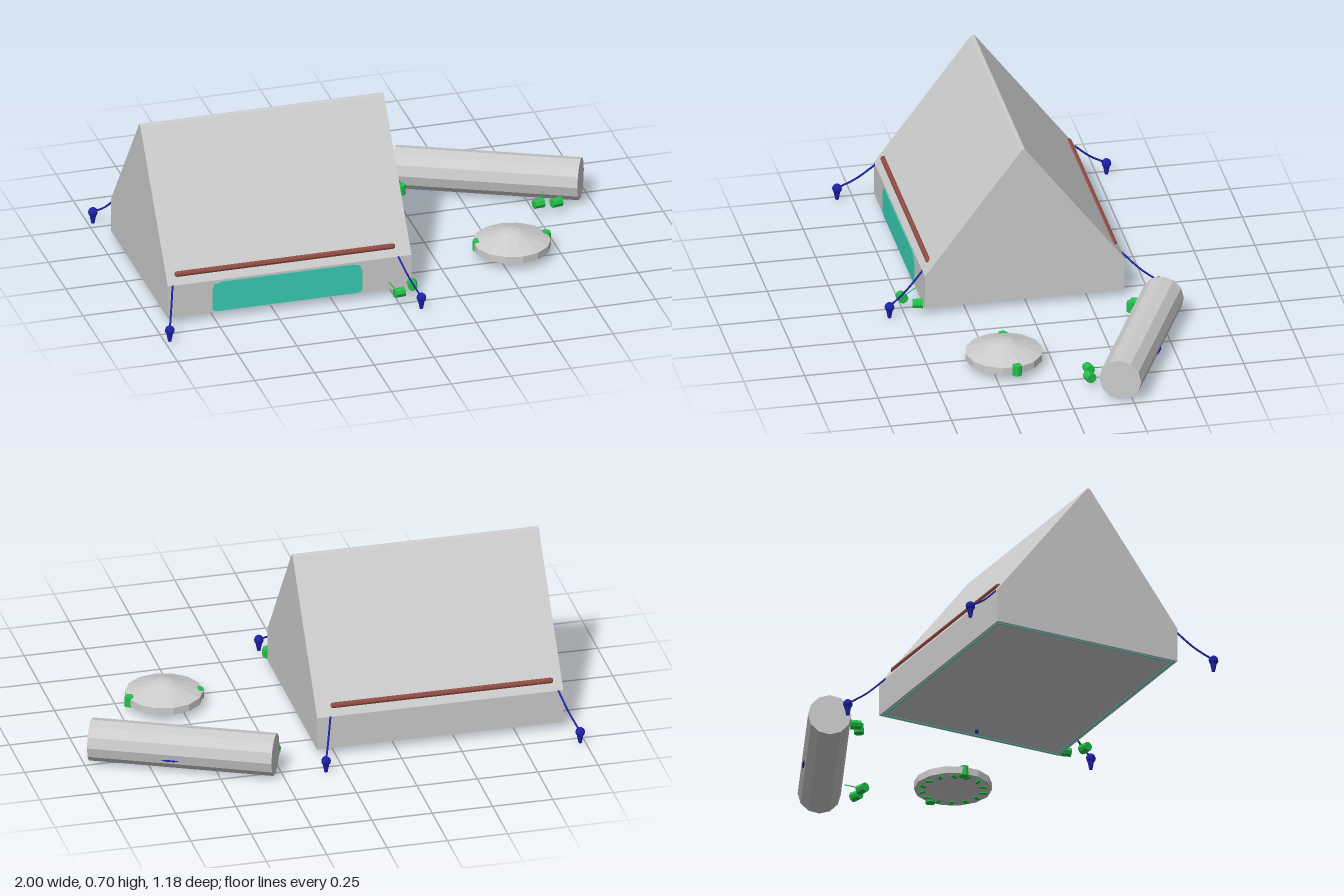
import * as THREE from 'three';

const mat = (color, flat = true) =>
  new THREE.MeshStandardMaterial({ color, flatShading: flat });

export function createModel() {
  const root = new THREE.Group();
  const grey = mat(0xcccccc), teal = mat(0x38cdb4), red = mat(0x8f4c42);
  const blue = mat(0x1c22a8), green = mat(0x24c048);
  teal.side = THREE.DoubleSide;

  const add = (name, geo, material, x = 0, y = 0, z = 0, parent = root) => {
    const m = new THREE.Mesh(geo, material);
    m.name = name;
    m.position.set(x, y, z);
    parent.add(m);
    return m;
  };
  const V = (x, y, z) => new THREE.Vector3(x, y, z);

  // Tent body: gable outline (drawn in z,y) extruded along x
  const outline = new THREE.Shape([
    [-0.42, 0.033], [0.398, 0.033], [0.398, 0.175], [-0.006, 0.705],
    [-0.011, 0.709], [-0.019, 0.709], [-0.024, 0.705], [-0.42, 0.175],
  ].map(([a, b]) => new THREE.Vector2(a, b)));
  const body = add('tentBody',
    new THREE.ExtrudeGeometry(outline, { depth: 1.02, bevelEnabled: false }), grey, -0.945);
  body.rotation.y = Math.PI / 2;

  // Front window panel with softened corners
  const pane = new THREE.Shape([
    [-0.74, 0.037], [-0.15, 0.037], [-0.132, 0.044], [-0.132, 0.135], [-0.14, 0.158],
    [-0.17, 0.166], [-0.72, 0.166], [-0.75, 0.158], [-0.758, 0.135], [-0.758, 0.044],
  ].map(([a, b]) => new THREE.Vector2(a, b)));
  add('windowPanel', new THREE.ExtrudeGeometry(pane, { depth: 0.004, bevelEnabled: false }),
    teal, 0, 0, 0.419);

  // Groundsheet hem showing under the floor
  for (const z of [0.405, -0.383])
    add('groundsheetHem', new THREE.BoxGeometry(0.98, 0.004, 0.005), teal, -0.435, 0.0325, z);
  for (const x of [-0.93, 0.06])
    add('groundsheetHem', new THREE.BoxGeometry(0.005, 0.004, 0.79), teal, x, 0.0325, 0.011);
  add('floorPeg', new THREE.CylinderGeometry(0.008, 0.008, 0.012, 8), blue, 0.015, 0.029, 0.015);

  // Rolled flaps lying on both roof slopes
  for (const z of [0.392, -0.37]) {
    const roll = add('rolledFlap', new THREE.CapsuleGeometry(0.012, 0.9, 3, 8), red, -0.448, 0.211, z);
    roll.rotation.z = Math.PI / 2;
  }

  // Guy ropes and stakes at the four corners
  for (const sx of [-1, 1]) for (const sz of [-1, 1]) {
    const x = -0.4525 + sx * 0.5265, z = 0.0125 + sz * 0.5525;
    const ax = -0.4525 + sx * 0.472, az = 0.011 + sz * 0.407;
    const rope = new THREE.CatmullRomCurve3([
      V(ax, 0.175, az),
      V(ax + (x - ax) * 0.5, 0.105, az + (z - az) * 0.5),
      V(x, 0.055, z),
    ]);
    add('guyRope', new THREE.TubeGeometry(rope, 8, 0.004, 6), blue);
    const stake = new THREE.Group();
    stake.name = 'stake';
    stake.position.set(x, 0, z);
    root.add(stake);
    add('stakeHead', new THREE.SphereGeometry(0.02, 10, 6), blue, 0, 0.053, 0, stake);
    add('stakeSpike', new THREE.CylinderGeometry(0.016, 0.007, 0.045, 8), blue, 0, 0.027, 0, stake);
  }

  // Bedroll: a lying twelve-sided cylinder
  const bedroll = new THREE.Group();
  bedroll.name = 'bedroll';
  bedroll.position.set(0.62, 0.095, -0.357);
  bedroll.rotation.y = -Math.atan2(0.315, 0.685);
  root.add(bedroll);
  const roll = add('bedrollBody', new THREE.CylinderGeometry(0.087, 0.087, 0.754, 12), grey, 0, 0, 0, bedroll);
  roll.rotation.z = Math.PI / 2;
  const tag = add('bedrollTag', new THREE.SphereGeometry(0.025, 8, 4), blue, 0.04, -0.028, -0.08, bedroll);
  tag.scale.set(1.5, 0.15, 0.3);

  // Low round fire pit with a conical lid
  add('firePit', new THREE.LatheGeometry([
    [0, 0.036], [0.157, 0.036], [0.157, 0.066], [0.035, 0.11], [0, 0.114],
  ].map(([r, y]) => new THREE.Vector2(r, y)), 14), grey, 0.56, 0, 0.195);
  // Leafy bits tucked beneath the rim
  for (let i = 0; i < 14; i++) {
    const a = i / 14 * Math.PI * 2;
    const leaf = add('rimLeaf', new THREE.BoxGeometry(0.03, 0.006, 0.014), green,
      0.56 + Math.cos(a) * 0.125, 0.034, 0.195 + Math.sin(a) * 0.125);
    leaf.rotation.y = -a + 0.6 * Math.sin(i * 3);
  }

  // Small green cups scattered around: x, y, z, heading (null = upright)
  [
    [0.0, 0.055, 0.5, 0.2], [0.07, 0.055, 0.448, 1.4],
    [0.76, 0.055, -0.11, 0.2], [0.832, 0.055, -0.1, 0.3],
    [0.25, 0.062, -0.41, 1.2], [0.265, 0.055, -0.388, null],
    [0.422, 0.052, 0.172, null], [0.71, 0.052, 0.172, null],
  ].forEach(([x, y, z, heading]) => {
    const cup = add('cup', new THREE.CylinderGeometry(0.019, 0.021, 0.042, 8), green, x, y, z);
    if (heading !== null) cup.rotation.set(0, heading, Math.PI / 2);
  });
  // Thin cords beside the loose cups
  for (const [x, z, dx] of [[-0.008, 0.48, -0.018], [0.77, -0.13, 0.03]]) {
    const cord = new THREE.LineCurve3(V(x, 0.06, z), V(x + dx, 0.075, z - 0.04));
    add('cord', new THREE.TubeGeometry(cord, 1, 0.002, 5), green);
  }
  return root;
}
